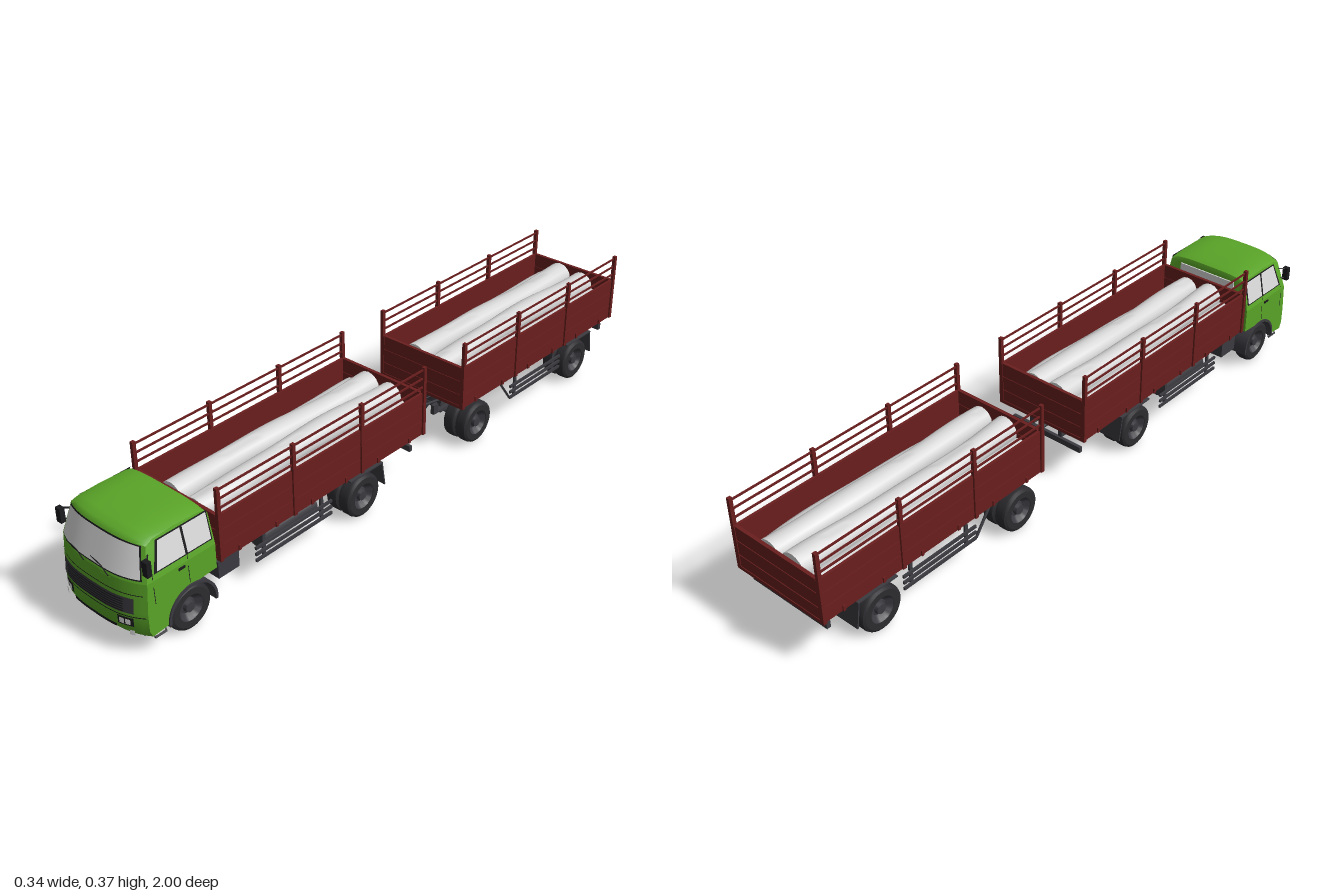
import * as THREE from 'three';
import { toCreasedNormals } from 'three/addons/utils/BufferGeometryUtils.js';

const mat = (name, color) => Object.assign(new THREE.MeshStandardMaterial({ color, side: THREE.DoubleSide }), { name });
const M = {
  green: mat('cab green', 0x5aa528), red: mat('board red', 0x6a1e1e), frame: mat('chassis grey', 0x3a3a40),
  tyre: mat('tyre black', 0x2c2c30), black: mat('trim black', 0x1b1b1e), glass: mat('window grey', 0xdcdcdc),
  log: mat('log grey', 0xd6d6d6), lamp: mat('lamp white', 0xf2f2f2)
};
const V = (x, y, z) => new THREE.Vector3(x, y, z);
const clamp = THREE.MathUtils.clamp;

function add(parent, name, geo, m, x = 0, y = 0, z = 0) {
  const mesh = new THREE.Mesh(geo, m);
  mesh.name = name;
  mesh.position.set(x, y, z);
  parent.add(mesh);
  return mesh;
}
const box = (p, name, m, w, h, d, x, y, z) => add(p, name, new THREE.BoxGeometry(w, h, d), m, x, y, z);
function rod(p, name, m, a, b, r) {
  const mesh = add(p, name, new THREE.CylinderGeometry(r, r, a.distanceTo(b), 6), m);
  mesh.position.copy(a).add(b).multiplyScalar(0.5);
  mesh.quaternion.setFromUnitVectors(V(0, 1, 0), b.clone().sub(a).normalize());
}
function group(parent, name, z = 0) {
  const g = new THREE.Group();
  g.name = name;
  g.position.z = z;
  parent.add(g);
  return g;
}

// Cab surface rule: u runs -1..1 across the width, the front bows and the roof is crowned
const halfW = y => 0.156 - 0.021 * clamp((y - 0.215) / 0.1, 0, 1.1);
function warp(u, y, z) {
  const a = Math.abs(u), top = clamp((y - 0.3) / 0.02, 0, 1);
  return V(u * halfW(y), y - 0.012 * top * a ** 4, z - 0.035 * a ** 3 * clamp((z - 0.89) / 0.1, 0, 1.1));
}
const frontZ = y => y < 0.13 ? 0.998 : y < 0.215 ? 0.998 - 0.01 * (y - 0.13) / 0.085 : 0.988 - 0.033 * (y - 0.215) / 0.095;

function cabShell(parent, name, shape, m) {
  const geo = new THREE.ExtrudeGeometry(shape, { depth: 2, steps: 24, bevelEnabled: false, curveSegments: 14 });
  geo.rotateY(-Math.PI / 2).translate(1, 0, 0);
  const p = geo.attributes.position;
  for (let i = 0; i < p.count; i++) {
    const v = warp(p.getX(i), p.getY(i), p.getZ(i));
    p.setXYZ(i, v.x, v.y, v.z);
  }
  return add(parent, name, toCreasedNormals(geo, 0.6), m);
}
// Thin plate following the curved cab front
function frontPanel(parent, name, m, u0, u1, y0, y1, off = 0.003, taper = 0) {
  const geo = new THREE.PlaneGeometry(1, 1, 20, 4), p = geo.attributes.position;
  for (let i = 0; i < p.count; i++) {
    const t = p.getY(i) + 0.5, y = y0 + (y1 - y0) * t;
    const u = (u0 + (u1 - u0) * (p.getX(i) + 0.5)) * (1 - taper * t);
    const v = warp(u, y, frontZ(y));
    p.setXYZ(i, v.x, v.y, v.z + off);
  }
  geo.computeVertexNormals();
  return add(parent, name, geo, m);
}
// Thin plate on a cab side, outline given as [z, y]
function sidePanel(parent, name, m, pts, s, off = 0.002) {
  const geo = new THREE.ShapeGeometry(new THREE.Shape(pts.map(q => new THREE.Vector2(...q))));
  const p = geo.attributes.position;
  for (let i = 0; i < p.count; i++) {
    const z = p.getX(i), y = p.getY(i);
    p.setXYZ(i, s * (halfW(y) + off), y, z);
  }
  if (s > 0) geo.setIndex([...geo.index.array].reverse());
  geo.computeVertexNormals();
  add(parent, name, geo, m);
}

function buildCab(root) {
  const cab = group(root, 'cab');
  const lower = new THREE.Shape();
  lower.moveTo(0.742, 0.215);
  lower.lineTo(0.742, 0.143);
  lower.lineTo(0.8, 0.14);
  lower.absarc(0.825, 0.065, 0.077, 1.9, 0, true);
  [[0.985, 0.06], [0.998, 0.08], [0.998, 0.13], [0.988, 0.215]].forEach(q => lower.lineTo(...q));
  cabShell(cab, 'lowerCab', lower, M.green);
  const upper = new THREE.Shape();
  upper.moveTo(0.742, 0.215);
  [[0.988, 0.215], [0.955, 0.31], [0.945, 0.319], [0.92, 0.324], [0.85, 0.326], [0.77, 0.323], [0.75, 0.316], [0.744, 0.3]].forEach(q => upper.lineTo(...q));
  cabShell(cab, 'upperCab', upper, M.green);
  box(cab, 'cabUnderside', M.black, 0.2, 0.08, 0.22, 0, 0.105, 0.86);
  box(cab, 'frontUnderside', M.black, 0.27, 0.006, 0.06, 0, 0.058, 0.93);
  box(cab, 'rearWindow', M.glass, 0.2, 0.065, 0.004, 0, 0.265, 0.742);

  // Front face
  frontPanel(cab, 'windshieldSeal', M.black, -0.94, 0.94, 0.222, 0.309, 0.002);
  frontPanel(cab, 'windshield', M.glass, -0.925, 0.925, 0.226, 0.306, 0.0035, 0.01);
  frontPanel(cab, 'grille', M.frame, -0.82, 0.82, 0.129, 0.172);
  for (let i = 0; i < 6; i++) frontPanel(cab, 'grilleSlat', M.black, -0.66, 0.66, 0.133 + i * 0.0063, 0.136 + i * 0.0063, 0.005);
  frontPanel(cab, 'bumperSeam', M.black, -0.98, 0.98, 0.118, 0.1205, 0.002);
  frontPanel(cab, 'bonnetSeam', M.black, -0.95, 0.95, 0.181, 0.183, 0.002);
  frontPanel(cab, 'lowerIntake', M.black, -0.5, 0.5, 0.077, 0.085, 0.002);
  for (const s of [-1, 1]) {
    const span = (a, b) => s > 0 ? [a, b] : [-b, -a];
    frontPanel(cab, 'headlightFrame', M.black, ...span(0.53, 0.8), 0.09, 0.115, 0.002);
    frontPanel(cab, 'headlight', M.lamp, ...span(0.57, 0.655), 0.095, 0.111, 0.004);
    frontPanel(cab, 'headlight', M.lamp, ...span(0.675, 0.76), 0.095, 0.111, 0.004);
    frontPanel(cab, 'fogLamp', M.lamp, ...span(0.74, 0.82), 0.067, 0.081, 0.005);
    frontPanel(cab, 'ventBar', M.green, ...span(0.22, 0.45), 0.212, 0.217, 0.006);
    const wx = s > 0 ? 0.065 : -0.025;
    rod(cab, 'wiper', M.black, V(wx, 0.219, 0.994), V(wx - 0.03, 0.231, 0.989), 0.0015);
    rod(cab, 'wiper', M.black, V(wx - 0.03, 0.231, 0.989), V(wx - 0.075, 0.234, 0.984), 0.0015);

    // Sides: windows, door lines, handle, mirror, step
    sidePanel(cab, 'windowSeal', M.black, [[0.93, 0.231], [0.905, 0.309], [0.748, 0.309], [0.748, 0.231]], s, 0.0015);
    sidePanel(cab, 'doorWindow', M.glass, [[0.921, 0.235], [0.9, 0.306], [0.833, 0.306], [0.833, 0.235]], s, 0.003);
    sidePanel(cab, 'rearSideWindow', M.glass, [[0.826, 0.235], [0.826, 0.306], [0.752, 0.306], [0.752, 0.235]], s, 0.003);
    for (const z of [0.828, 0.935]) sidePanel(cab, 'doorSeam', M.black, [[z, 0.15], [z + 0.002, 0.15], [z + 0.002, 0.231], [z, 0.231]], s);
    box(cab, 'doorHandle', M.black, 0.004, 0.006, 0.02, s * 0.157, 0.205, 0.85);
    box(cab, 'mirror', M.black, 0.018, 0.042, 0.014, s * 0.159, 0.264, 0.952);
    for (const y of [0.25, 0.282]) rod(cab, 'mirrorArm', M.black, V(s * 0.138, y, 0.93), V(s * 0.16, y, 0.95), 0.002);
    for (const z of [0.905, 0.94]) rod(cab, 'stepArm', M.frame, V(s * 0.14, 0.062, z), V(s * 0.147, 0.044, z), 0.002);
    rod(cab, 'step', M.frame, V(s * 0.147, 0.044, 0.905), V(s * 0.147, 0.044, 0.94), 0.003);
    // Wheel arch liner
    const arch = new THREE.Shape();
    arch.absarc(0, 0, 0.078, -0.1, Math.PI + 0.15, false);
    arch.absarc(0, 0, 0.071, Math.PI + 0.15, -0.1, true);
    const ag = new THREE.ExtrudeGeometry(arch, { depth: 0.06, bevelEnabled: false, curveSegments: 16 });
    add(cab, 'wheelArch', ag.rotateY(-Math.PI / 2), M.frame, s * 0.13 + 0.03, 0.066, 0.825);
  }
}

// Lathe-turned tyre with a dished rim, one or two per side
const wheelPts = [[0.038, -0.02], [0.056, -0.02], [0.063, -0.016], [0.065, -0.01], [0.065, 0.01], [0.063, 0.016], [0.056, 0.02], [0.038, 0.02]];
const rimPts = [[0, -0.016], [0.038, -0.018], [0.038, 0.018], [0.033, 0.012], [0.022, 0.004], [0.016, 0.006], [0.014, 0.016], [0, 0.017]];
const turned = pts => toCreasedNormals(new THREE.LatheGeometry(pts.map(q => new THREE.Vector2(...q)), 28), 0.5);
const tyreGeo = turned(wheelPts), rimGeo = turned(rimPts);
function buildAxle(root, z, dual) {
  const g = group(root, 'axle', z);
  rod(g, 'axleBeam', M.frame, V(-0.12, 0.065, 0), V(0.12, 0.065, 0), 0.011);
  if (dual) add(g, 'differential', new THREE.SphereGeometry(0.024, 14, 10), M.frame, 0, 0.068, 0);
  for (const s of [-1, 1]) {
    for (const x of dual ? [0.13, 0.087] : [0.13]) {
      for (const [name, geo, m] of [['tyre', tyreGeo, M.tyre], ['rim', rimGeo, M.frame]])
        add(g, name, geo, m, s * x, 0.065, 0).rotation.z = -s * Math.PI / 2;
    }
    // Leaf spring
    for (let i = 0; i < 3; i++) box(g, 'leafSpring', M.frame, 0.014, 0.005, 0.18 - i * 0.05, s * 0.052, 0.1 - i * 0.006, 0);
    box(g, 'springMount', M.frame, 0.012, 0.03, 0.02, s * 0.052, 0.112, 0.085);
    box(g, 'springMount', M.frame, 0.012, 0.03, 0.02, s * 0.052, 0.112, -0.085);
  }
}
function mudFlaps(root, z) {
  for (const s of [-1, 1]) {
    box(root, 'mudFlap', M.frame, 0.088, 0.075, 0.004, s * 0.108, 0.1, z - 0.078).rotation.x = 0.15;
    box(root, 'mudGuard', M.frame, 0.088, 0.004, 0.13, s * 0.108, 0.138, z - 0.01);
  }
}

// Wavy log lying along z
function buildLog(parent, r, x, y, seed) {
  const geo = new THREE.CylinderGeometry(r, r, 0.735, 16, 28).rotateX(Math.PI / 2);
  const p = geo.attributes.position;
  for (let i = 0; i < p.count; i++) {
    const z = p.getZ(i), k = 1 + 0.05 * Math.sin(z * 17 + seed * 2) - 0.08 * z;
    p.setXYZ(i, p.getX(i) * k + 0.005 * Math.sin(z * 8 + seed), p.getY(i) * k + 0.003 * Math.sin(z * 7 + seed * 3), z);
  }
  add(parent, 'log', toCreasedNormals(geo, 0.8), M.log, x, y, 0);
}

// Stake-sided cargo body with its logs
function buildBody(root, z, seed) {
  const g = group(root, 'cargoBody', z), L = 0.778;
  box(g, 'floor', M.red, 0.304, 0.01, L, 0, 0.155, 0);
  for (const s of [-1, 1]) {
    box(g, 'sideWall', M.red, 0.006, 0.13, L, s * 0.147, 0.217, 0);
    box(g, 'endWall', M.red, 0.296, 0.13, 0.006, 0, 0.217, s * (L / 2 - 0.007));
    for (let i = 0; i < 3; i++) {
      const y = 0.174 + i * 0.0445;
      box(g, 'sidePlank', M.red, 0.008, 0.041, L - 0.008, s * 0.148, y, 0);
      box(g, 'endPlank', M.red, 0.3, 0.041, 0.01, 0, y, s * (L / 2 - 0.007));
    }
    for (let i = 0; i < 4; i++)
      box(g, 'stake', M.red, 0.01, 0.215, 0.011, s * 0.152, 0.2575, (i / 3 - 0.5) * (L - 0.011));
    for (const y of [0.303, 0.33, 0.357]) box(g, 'stakeRail', M.red, 0.004, 0.005, L - 0.01, s * 0.151, y, 0);
    for (let i = 0; i < 6; i++)
      box(g, 'latch', M.red, 0.006, 0.016, 0.008, s * 0.153, 0.158, (i - 2.5) * 0.129);
  }
  for (const x of [-0.088, 0, 0.088]) buildLog(g, 0.039, x, 0.2, seed++);
  for (const x of [-0.042, 0.042]) buildLog(g, 0.038, x, 0.244, seed++);
}

// Long members, cross members and side guards under a body
function buildChassis(root, z0, z1, g0, g1) {
  const g = group(root, 'chassis'), mid = (z0 + z1) / 2;
  for (const s of [-1, 1]) {
    box(g, 'frameRail', M.frame, 0.014, 0.034, z0 - z1, s * 0.052, 0.13, mid);
    for (const y of [0.073, 0.092, 0.111]) box(g, 'guardRail', M.frame, 0.006, 0.008, g0 - g1, s * 0.142, y, (g0 + g1) / 2);
    for (const t of [0.12, 0.88]) box(g, 'guardStrut', M.frame, 0.006, 0.084, 0.01, s * 0.136, 0.11, g0 + (g1 - g0) * t);
  }
  for (let i = 0; i < 6; i++) box(g, 'crossMember', M.frame, 0.1, 0.02, 0.014, 0, 0.13, z0 - 0.02 - (z0 - z1 - 0.04) * i / 5);
  for (let i = 0; i < 5; i++) box(g, 'floorBearer', M.frame, 0.27, 0.008, 0.014, 0, 0.148, z0 - 0.03 - (z0 - z1 - 0.06) * i / 4);
}

export function createModel() {
  const root = new THREE.Group();
  root.name = 'logTruckWithTrailer';
  buildCab(root);

  // Truck
  buildBody(root, 0.339, 1);
  buildChassis(root, 0.9, -0.03, 0.6, 0.32);
  buildAxle(root, 0.825, false);
  buildAxle(root, 0.2, true);
  mudFlaps(root, 0.2);
  rod(root, 'driveShaft', M.frame, V(0, 0.1, 0.78), V(0, 0.075, 0.22), 0.009);
  box(root, 'gearbox', M.frame, 0.08, 0.06, 0.14, 0, 0.1, 0.72);
  for (const s of [-1, 1]) {
    box(root, 'batteryBox', M.frame, 0.06, 0.05, 0.07, s * 0.105, 0.108, 0.685);
    const tank = add(root, 'fuelTank', new THREE.CylinderGeometry(0.029, 0.029, 0.2, 16), M.frame, s * 0.1, 0.105, 0.46);
    tank.rotation.x = Math.PI / 2;
  }
  box(root, 'truckRearBumper', M.frame, 0.25, 0.018, 0.01, 0, 0.098, -0.025);

  // Trailer with turntable and drawbar
  buildBody(root, -0.606, 7);
  buildChassis(root, -0.24, -0.97, -0.47, -0.73);
  buildAxle(root, -0.305, true);
  buildAxle(root, -0.81, true);
  mudFlaps(root, -0.81);
  add(root, 'turntable', new THREE.CylinderGeometry(0.06, 0.06, 0.02, 24), M.frame, 0, 0.122, -0.305);
  box(root, 'trailerRearBumper', M.frame, 0.27, 0.02, 0.012, 0, 0.118, -0.965);
  for (const s of [-1, 1]) {
    rod(root, 'drawbar', M.frame, V(0, 0.132, -0.05), V(s * 0.052, 0.132, -0.25), 0.004);
    rod(root, 'brakeHose', M.frame, V(s * 0.004, 0.134, -0.05), V(s * 0.02, 0.134, -0.24), 0.0018);
    rod(root, 'guardBrace', M.frame, V(s * 0.142, 0.073, -0.47), V(s * 0.142, 0.148, -0.415), 0.004);
  }
  rod(root, 'towHitch', M.frame, V(0, 0.132, -0.07), V(0, 0.132, 0.02), 0.007);
  return root;
}
